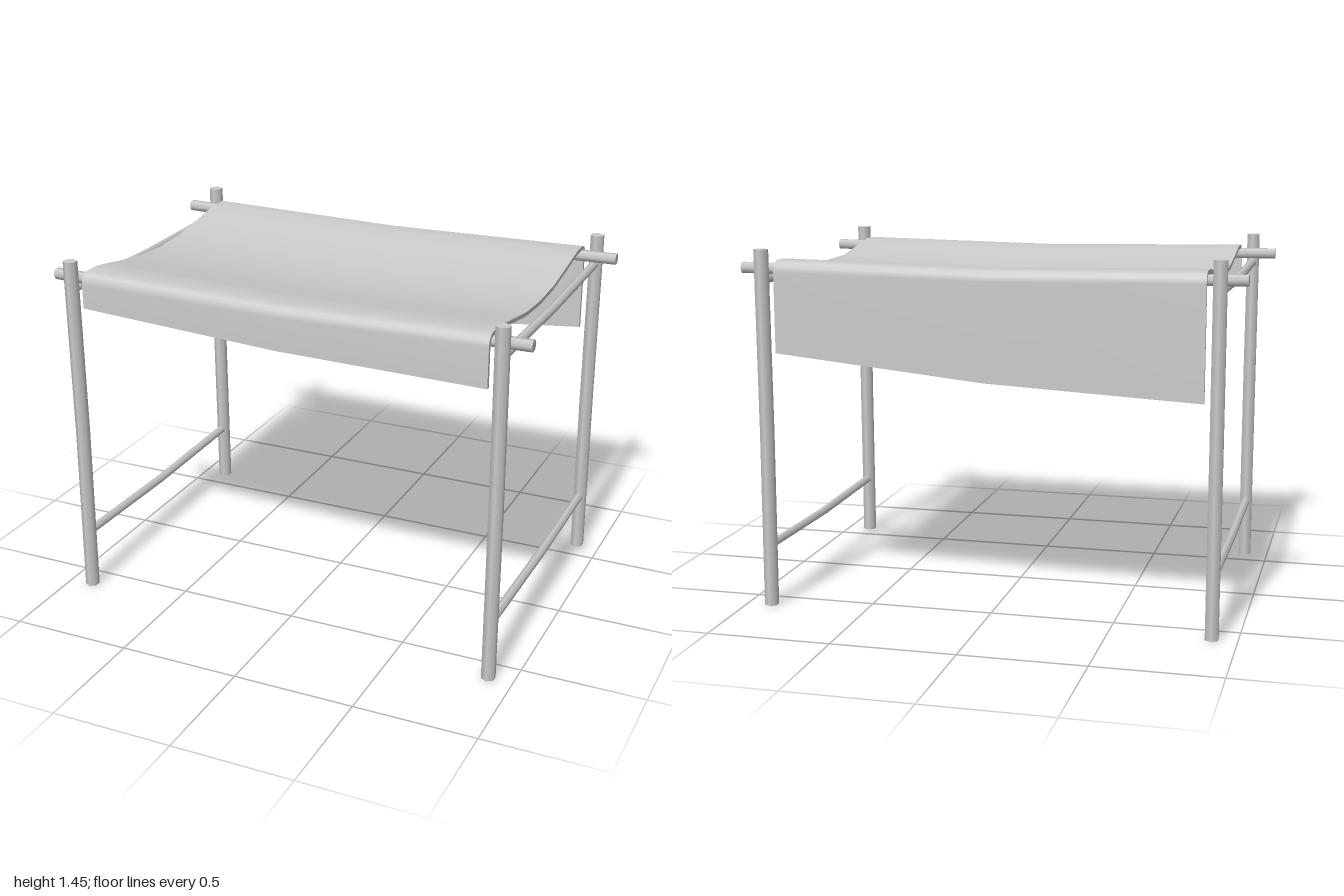
import * as THREE from 'three';
import { mergeVertices } from 'three/addons/utils/BufferGeometryUtils.js';

const grey = new THREE.MeshStandardMaterial({ color: 0xcccccc });

// Six-sided pole along y whose middle ring is pushed by (bendX, bendZ)
function pole(radius, length, bendX, bendZ) {
  const geo = new THREE.CylinderGeometry(radius, radius, length, 6, 2);
  const p = geo.attributes.position;
  for (let i = 0; i < p.count; i++) {
    if (Math.abs(p.getY(i)) < 0.01) p.setXYZ(i, p.getX(i) + bendX, p.getY(i), p.getZ(i) + bendZ);
  }
  return geo;
}

function add(group, name, geo, x, y, z) {
  const mesh = new THREE.Mesh(geo, grey);
  mesh.name = name;
  mesh.position.set(x, y, z);
  group.add(mesh);
}

// Surface through a grid of points: rows[i][j]
function sheet(rows, flip) {
  const n = rows[0].length, index = [];
  for (let i = 0; i < rows.length - 1; i++) {
    for (let j = 0; j < n - 1; j++) {
      const a = i * n + j, b = a + 1, c = a + n, d = c + 1;
      if (flip) index.push(a, b, c, b, d, c);
      else index.push(a, c, b, b, c, d);
    }
  }
  const geo = new THREE.BufferGeometry().setFromPoints(rows.flat());
  geo.setIndex(index);
  geo.computeVertexNormals();
  return geo;
}

// Cloth cross-section at one station, inset by the cloth thickness t
function clothSection({ x, front, back, ridge, sag }, t) {
  const half = [
    [0.605, 1.36, 1, 0], [0.6, 1.383, 0.9, 0.4], [0.588, 1.398, 0.6, 0.8], [0.565, 1.406, 0.1, 1],
    [0.49, 1.405, 0, 1], [0.41, 1.393, -0.1, 1], [0.33, 1.379, -0.1, 1], [0.17, 1.354, -0.1, 1],
  ];
  const place = ([z, y, nz, ny], s) => {
    const drop = THREE.MathUtils.lerp(sag, ridge, Math.min(1, Math.abs(z) / 0.5));
    return new THREE.Vector3(x, y - drop - ny * t, s * (z - nz * t));
  };
  return [
    new THREE.Vector3(x, front, 0.605 - t),
    ...half.map((p) => place(p, 1)),
    place([0, 1.346, 0, 1], 1),
    ...half.slice().reverse().map((p) => place(p, -1)),
    new THREE.Vector3(x, back, -0.605 + t),
  ];
}

export function createModel() {
  const model = new THREE.Group();

  // Corner posts, bowed slightly inwards
  for (const sx of [-1, 1]) {
    for (const sz of [-1, 1]) {
      add(model, 'post', pole(0.029, 1.45, 0, -0.007 * sz), 0.9 * sx, 0.725, 0.603 * sz);
    }
    // Side stretchers, sagging a little in the middle
    for (const [name, y] of [['upperStretcher', 1.33], ['lowerStretcher', 0.25]]) {
      const geo = pole(0.018, 1.17, 0, 0.01).rotateX(Math.PI / 2);
      add(model, name, geo, 0.9 * sx, y, 0);
    }
  }

  // Long rails that carry the cloth
  for (const sz of [-1, 1]) {
    const geo = pole(0.024, 2, -0.015, 0).rotateZ(Math.PI / 2);
    add(model, 'rail', geo, 0, 1.372, 0.553 * sz);
  }

  // Draped cloth: outer and inner skins plus the thin hems
  const stations = [
    { x: -0.85, front: 1.26, back: 0.912, ridge: 0, sag: 0 },
    { x: 0, front: 1.213, back: 0.955, ridge: 0.015, sag: 0.025 },
    { x: 0.85, front: 1.2, back: 1.04, ridge: 0, sag: 0 },
  ];
  const outer = stations.map((s) => clothSection(s, 0));
  const inner = stations.map((s) => clothSection(s, 0.016));
  const column = (rows, j) => rows.map((r) => r.at(j));
  const cloth = new THREE.Group();
  cloth.name = 'cloth';
  add(cloth, 'clothOuter', mergeVertices(sheet(outer, false)), 0, 0, 0);
  add(cloth, 'clothInner', mergeVertices(sheet(inner, true)), 0, 0, 0);
  add(cloth, 'sideHem', sheet([outer[0], inner[0]], true), 0, 0, 0);
  add(cloth, 'sideHem', sheet([outer[2], inner[2]], false), 0, 0, 0);
  add(cloth, 'frontHem', sheet([column(outer, 0), column(inner, 0)], false), 0, 0, 0);
  add(cloth, 'backHem', sheet([column(outer, -1), column(inner, -1)], true), 0, 0, 0);
  // Thin hems show from either side
  for (const mesh of cloth.children.slice(2)) {
    mesh.material = grey.clone();
    mesh.material.side = THREE.DoubleSide;
  }
  model.add(cloth);

  return model;
}
